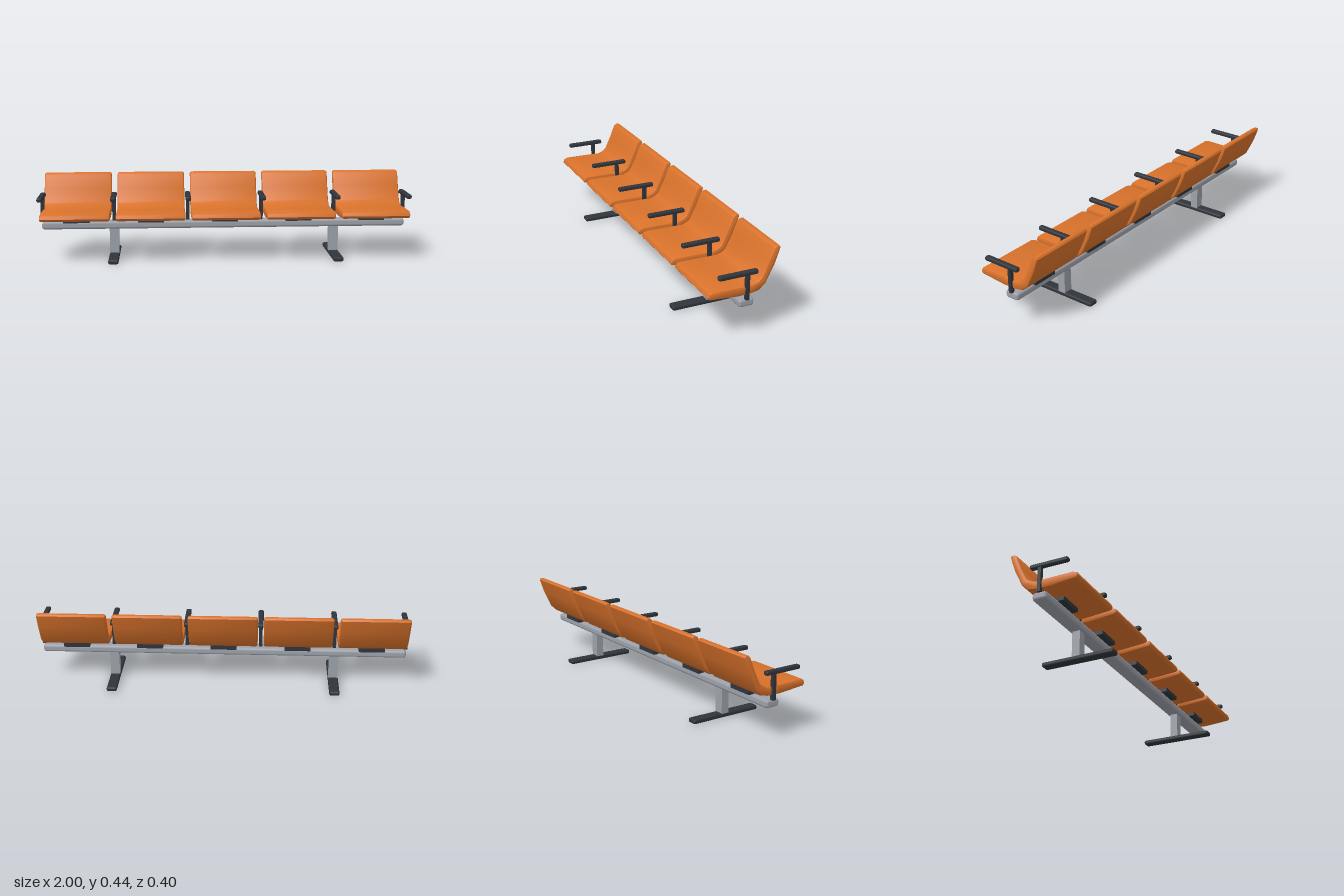
import * as THREE from 'three';
import { toCreasedNormals } from 'three/addons/utils/BufferGeometryUtils.js';
import { RoundedBoxGeometry } from 'three/addons/geometries/RoundedBoxGeometry.js';

const material = (name, color) => {
  const m = new THREE.MeshStandardMaterial({ color });
  m.name = name;
  return m;
};

// Seat shell side profile as [z, y]: underside front to back, then top back to front
const SEAT_PROFILE = [
  [0.193, 0.243], [0.183, 0.23], [0.04, 0.218], [-0.035, 0.22], [-0.077, 0.229],
  [-0.113, 0.262], [-0.158, 0.355], [-0.185, 0.432], [-0.179, 0.441], [-0.162, 0.441],
  [-0.149, 0.432], [-0.12, 0.36], [-0.086, 0.29], [-0.071, 0.277], [-0.04, 0.265],
  [0.06, 0.267], [0.165, 0.268], [0.185, 0.261],
];

function seatGeometry(width, bevel) {
  const shape = new THREE.Shape(SEAT_PROFILE.map(([z, y]) => new THREE.Vector2(z, y)));
  const geometry = new THREE.ExtrudeGeometry(shape, {
    depth: width - 2 * bevel,
    bevelEnabled: true,
    bevelSegments: 2,
    bevelThickness: bevel,
    bevelSize: bevel,
    bevelOffset: -bevel,
  });
  geometry.translate(0, 0, bevel - width / 2 + 0);
  geometry.translate(0, 0, -bevel);
  geometry.computeBoundingBox();
  const box = geometry.boundingBox;
  geometry.translate(0, 0, -(box.min.z + box.max.z) / 2);
  geometry.rotateY(-Math.PI / 2);
  return toCreasedNormals(geometry, 0.6);
}

export function createModel() {
  const group = new THREE.Group();
  const orange = material('orange shell', 0xd9722b);
  const dark = material('dark plastic', 0x30353c);
  const grey = material('grey metal', 0x9da1aa);

  const add = (name, geometry, mat, x = 0, y = 0, z = 0) => {
    const mesh = new THREE.Mesh(geometry, mat);
    mesh.name = name;
    mesh.position.set(x, y, z);
    group.add(mesh);
  };

  // Long carrying beam
  add('beam', new RoundedBoxGeometry(1.976, 0.042, 0.079, 1, 0.014), grey, 0, 0.179, -0.0095);

  // Legs with floor feet
  const post = new THREE.BoxGeometry(0.05, 0.15, 0.043);
  const foot = new RoundedBoxGeometry(0.055, 0.024, 0.4, 1, 0.009);
  for (const x of [-0.6, 0.6]) {
    add('legPost', post, grey, x, 0.093, -0.0085);
    add('foot', foot, dark, x, 0.012, 0);
  }

  // Five seats on mounting brackets
  const seat = seatGeometry(0.368, 0.01);
  const bracket = new THREE.BoxGeometry(0.14, 0.026, 0.119);
  for (let i = -2; i <= 2; i++) {
    add('seat', seat, orange, i * 0.4, 0, 0);
    add('seatBracket', bracket, dark, i * 0.4, 0.211, -0.0025);
  }

  // Armrests between the seats and at both ends
  const armPost = new THREE.BoxGeometry(0.02, 0.136, 0.018);
  const armPad = new RoundedBoxGeometry(0.029, 0.023, 0.207, 1, 0.008);
  for (const x of [-0.985, -0.6, -0.2, 0.2, 0.6, 0.985]) {
    add('armrestPost', armPost, dark, x, 0.265, -0.009);
    add('armrestPad', armPad, dark, x, 0.3375, 0.0415);
  }

  return group;
}
